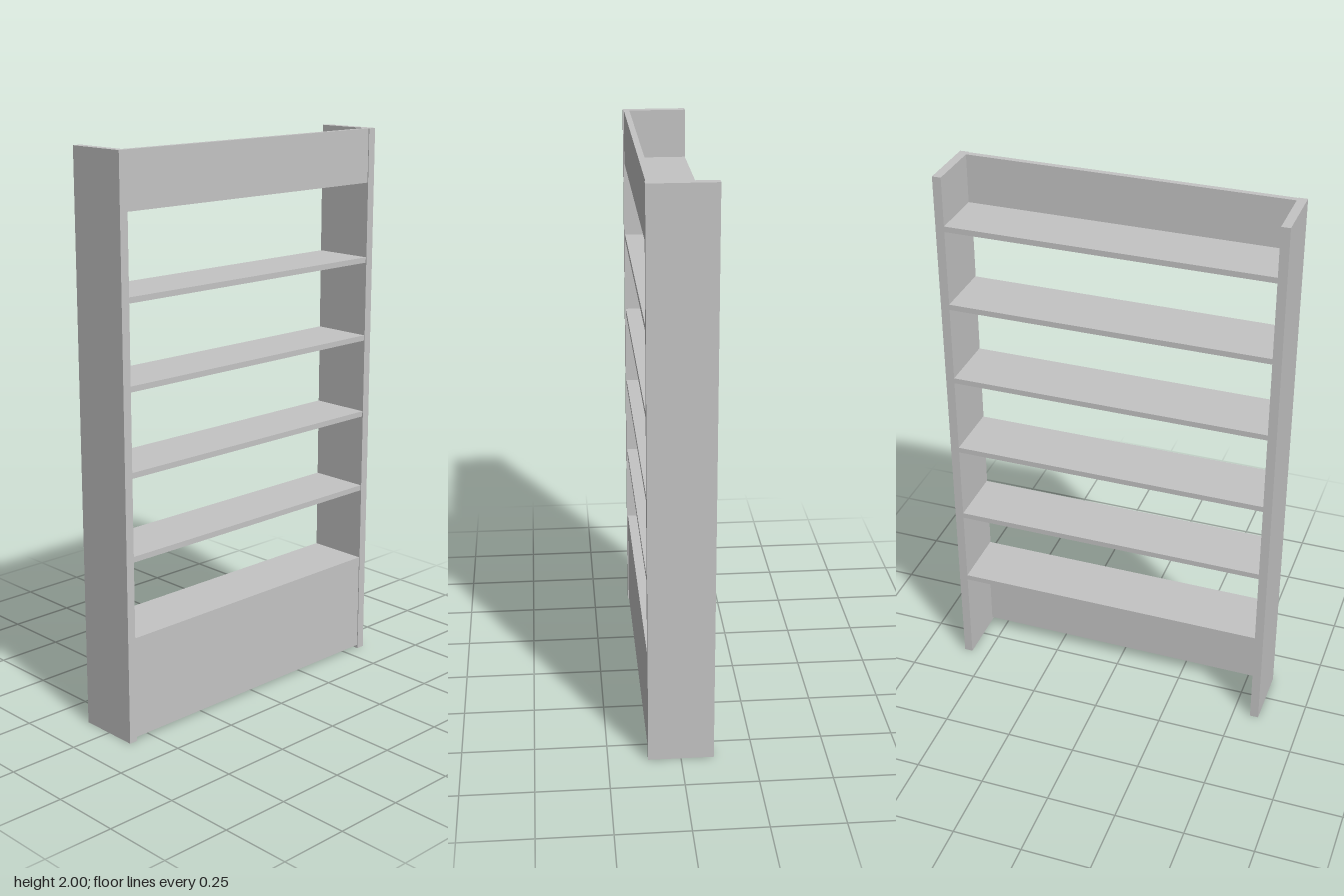
import * as THREE from 'three';

export function createModel() {
  const group = new THREE.Group();
  const grey = new THREE.MeshStandardMaterial({ color: 0xc4c4c4 });
  grey.name = 'light grey';

  // Board given by its minimum and maximum corners
  function board(name, [x0, y0, z0], [x1, y1, z1]) {
    const mesh = new THREE.Mesh(new THREE.BoxGeometry(x1 - x0, y1 - y0, z1 - z0), grey);
    mesh.position.set((x0 + x1) / 2, (y0 + y1) / 2, (z0 + z1) / 2);
    mesh.name = name;
    group.add(mesh);
  }

  const outer = 0.595, inner = 0.564, back = -0.113, front = 0.113;
  const panelBack = 0.09, panelFront = 0.11;
  const shelfCount = 6, firstShelf = 0.356, spacing = 0.2903, thickness = 0.02;

  // Upright side boards
  board('leftSide', [inner, 0, back], [outer, 2, front]);
  board('rightSide', [-outer, 0, back], [-inner, 2, front]);

  // Evenly spaced open shelves
  for (let i = 0; i < shelfCount; i++) {
    const y = firstShelf + i * spacing;
    board(`shelf${i + 1}`, [-inner, y, back], [inner, y + thickness, panelFront]);
  }

  // Front panels: kickboard under the lowest shelf, fascia above the highest
  const topShelf = firstShelf + (shelfCount - 1) * spacing + thickness;
  board('kickboard', [-inner, 0.013, panelBack], [inner, firstShelf, panelFront]);
  board('topFascia', [-inner, topShelf, panelBack], [inner, 2, panelFront]);

  return group;
}
